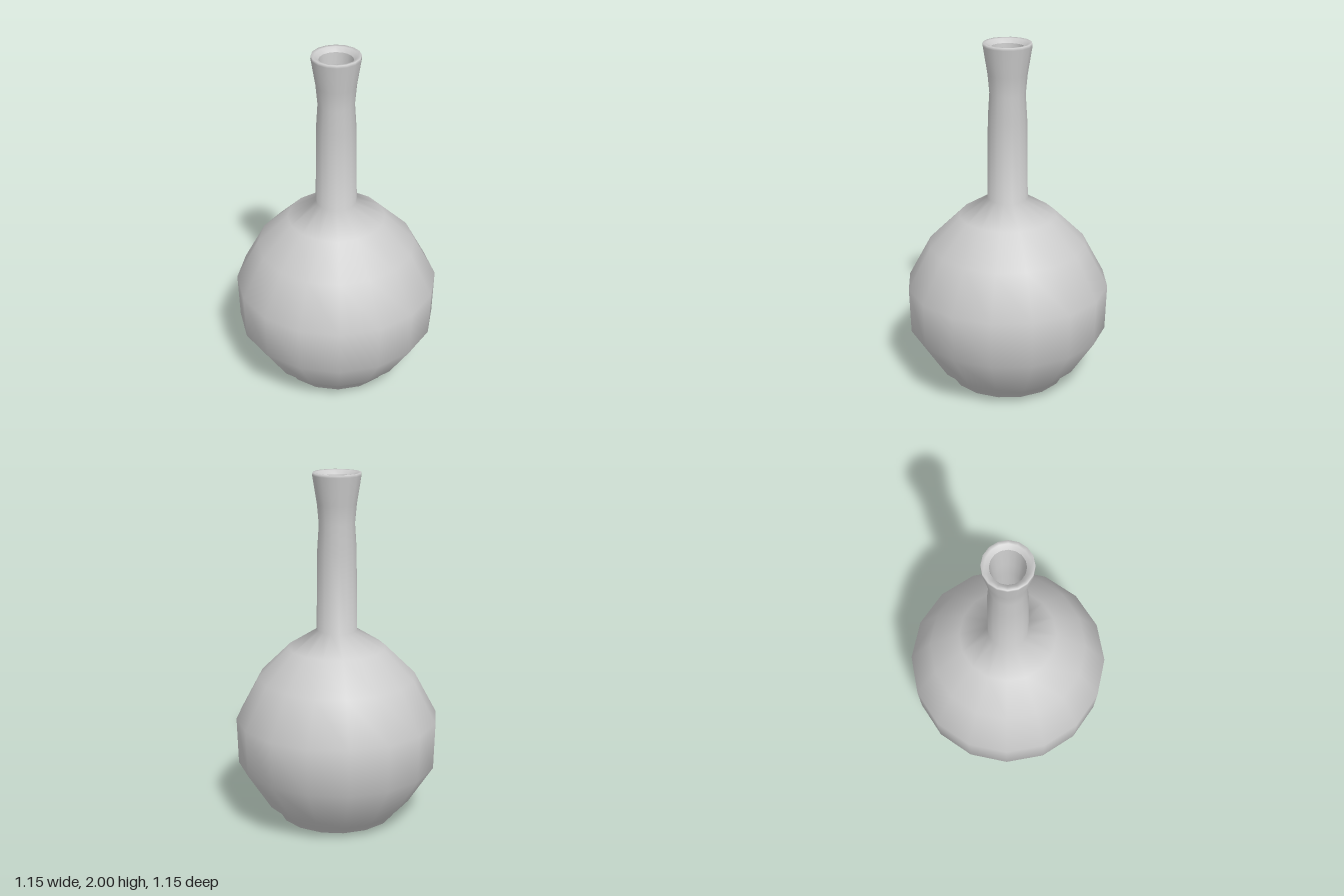
import * as THREE from 'three';

const SIDES = 16;
const material = new THREE.MeshStandardMaterial({ color: 0xcccccc, side: THREE.DoubleSide });

// Turned surface from [radius, height] pairs
function turned(name, profile) {
  const points = profile.map(([r, y]) => new THREE.Vector2(r, y));
  const mesh = new THREE.Mesh(new THREE.LatheGeometry(points, SIDES), material);
  mesh.name = name;
  return mesh;
}

export function createModel() {
  const group = new THREE.Group();
  group.name = 'longNeckedVase';

  // Underside with a tiny central hole
  group.add(turned('base', [[0.012, 0], [0.31, 0.012]]));

  // Foot, round belly, slim neck and flared lip
  group.add(turned('outerWall', [
    [0.31, 0.012], [0.335, 0.025], [0.35, 0.06], [0.425, 0.125],
    [0.567, 0.345], [0.575, 0.61], [0.447, 0.85], [0.275, 1.02],
    [0.115, 1.12], [0.109, 1.58], [0.1, 1.72], [0.11, 1.83],
    [0.135, 1.985], [0.133, 2], [0.115, 1.998], [0.093, 1.975],
  ]));

  // Hollow inside, from the mouth down to the floor
  group.add(turned('innerWall', [
    [0.093, 1.975], [0.08, 1.83], [0.075, 1.72], [0.082, 1.58], [0.086, 1.1],
    [0.255, 0.99], [0.417, 0.83], [0.54, 0.6], [0.533, 0.36],
    [0.4, 0.15], [0.3, 0.06], [0.012, 0.04],
  ]));

  // Wall of the small hole through the floor
  group.add(turned('drainHole', [[0.012, 0.04], [0.012, 0]]));
  return group;
}
